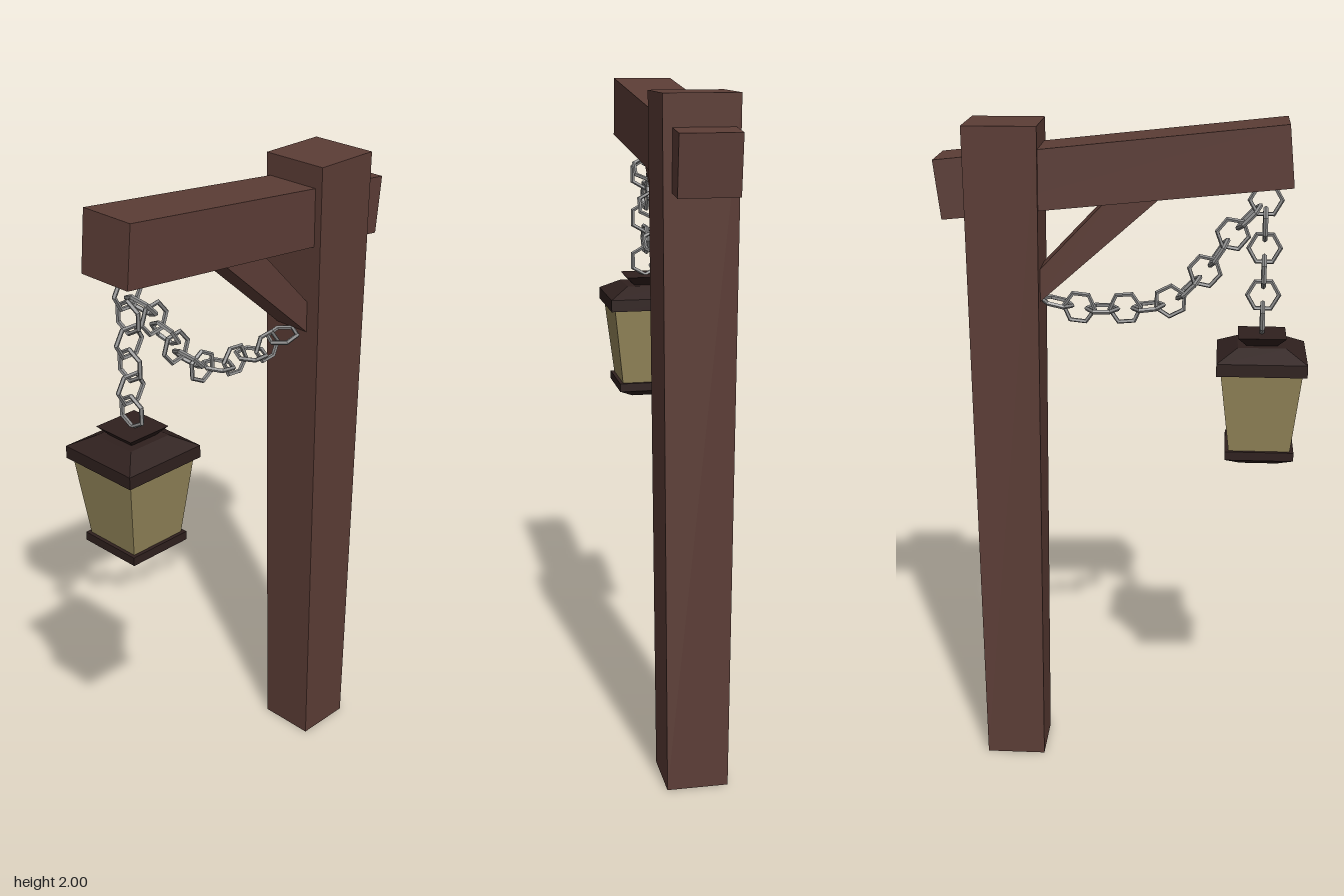
import * as THREE from 'three';

const material = (color, extra = {}) =>
  new THREE.MeshStandardMaterial({ color, flatShading: true, ...extra });

const wood = material(0x5c3d36);
const darkWood = material(0x2f201e);
const glass = material(0x94865a);
const iron = material(0x8a8a8a);

function part(name, geometry, mat) {
  const mesh = new THREE.Mesh(geometry, mat);
  mesh.name = name;
  return mesh;
}

// Square tapered block between two heights, given half widths
function taperedBlock(name, y0, half0, y1, half1, mat) {
  const g = new THREE.CylinderGeometry(half1 * Math.SQRT2, half0 * Math.SQRT2, y1 - y0, 4);
  g.rotateY(Math.PI / 4).translate(0, (y0 + y1) / 2, 0);
  return part(name, g, mat);
}

// Timber running along z: side profile of [z, y] corners, with left and right
// faces given as x at the front and x at the back
function timber(name, { front, back, xFront, xBack }, mat) {
  const g = new THREE.BoxGeometry(1, 1, 1);
  const p = g.attributes.position;
  for (let i = 0; i < p.count; i++) {
    const isFront = p.getZ(i) > 0;
    const [z, y] = (isFront ? front : back)[p.getY(i) > 0 ? 0 : 1];
    const x = (isFront ? xFront : xBack)[p.getX(i) > 0 ? 1 : 0];
    p.setXYZ(i, x, y, z);
  }
  g.computeVertexNormals();
  return part(name, g, mat);
}

// Six-sided chain link at a point, aligned to the chain direction;
// flat links lie in the yz plane, the others stand across it
const linkGeometry = new THREE.TorusGeometry(0.046, 0.007, 5, 6);
function chainLink(point, tangent, flat, turn = 0) {
  const link = part('chainLink', linkGeometry, iron);
  const x = new THREE.Vector3(1, 0, 0);
  const across = flat ? new THREE.Vector3().crossVectors(x, tangent) : x;
  const normal = new THREE.Vector3().crossVectors(tangent, across);
  link.quaternion.setFromRotationMatrix(new THREE.Matrix4().makeBasis(tangent, across, normal));
  link.rotateZ(turn);
  link.position.copy(point);
  return link;
}

export function createModel() {
  const model = new THREE.Group();
  model.name = 'lanternPost';

  // Post, widening slightly upwards
  const post = taperedBlock('post', 0, 0.09, 1.99, 0.106, wood);
  post.position.z = -0.344;
  model.add(post);

  // Sloping beam through the post, and the diagonal brace under it
  model.add(timber('beam', {
    front: [[0.46, 2.0], [0.477, 1.825]],
    back: [[-0.535, 1.893], [-0.515, 1.725]],
    xFront: [-0.092, 0.087], xBack: [-0.092, 0.079],
  }, wood));
  model.add(timber('brace', {
    front: [[0.0, 1.83], [0.13, 1.81]],
    back: [[-0.27, 1.548], [-0.27, 1.458]],
    xFront: [-0.058, 0.058], xBack: [-0.058, 0.058],
  }, wood));

  // Lantern, stacked from square tiers
  const lantern = new THREE.Group();
  lantern.name = 'lantern';
  lantern.position.z = 0.402;
  lantern.add(
    taperedBlock('foot', 0.998, 0.055, 1.022, 0.1, darkWood),
    taperedBlock('baseRim', 1.022, 0.101, 1.048, 0.101, darkWood),
    taperedBlock('glassBody', 1.048, 0.09, 1.29, 0.118, glass),
    taperedBlock('roofRim', 1.288, 0.131, 1.325, 0.131, darkWood),
    taperedBlock('roof', 1.325, 0.131, 1.358, 0.07, darkWood),
    taperedBlock('crown', 1.355, 0.042, 1.385, 0.07, darkWood),
  );
  model.add(lantern);

  // Hanging chain
  const hangingChain = new THREE.Group();
  hangingChain.name = 'hangingChain';
  const down = new THREE.Vector3(0, -1, 0);
  for (let i = 0; i < 6; i++) {
    const point = new THREE.Vector3(0, 1.775 - i * 0.069, 0.402);
    hangingChain.add(chainLink(point, down, i % 2 === 0, i % 2 === 0 ? Math.PI / 6 : 0));
  }
  model.add(hangingChain);

  // Slack chain from the beam end to the post
  const slackChain = new THREE.Group();
  slackChain.name = 'slackChain';
  const curve = new THREE.CatmullRomCurve3([
    [0.402, 1.775], [0.31, 1.676], [0.23, 1.565], [0.13, 1.475],
    [0.0, 1.453], [-0.135, 1.453], [-0.2, 1.468],
  ].map(([z, y]) => new THREE.Vector3(0, y, z)));
  for (let i = 1; i <= 11; i++) {
    slackChain.add(chainLink(curve.getPointAt(i / 11), curve.getTangentAt(i / 11), i % 2 === 0));
  }
  model.add(slackChain);

  return model;
}
